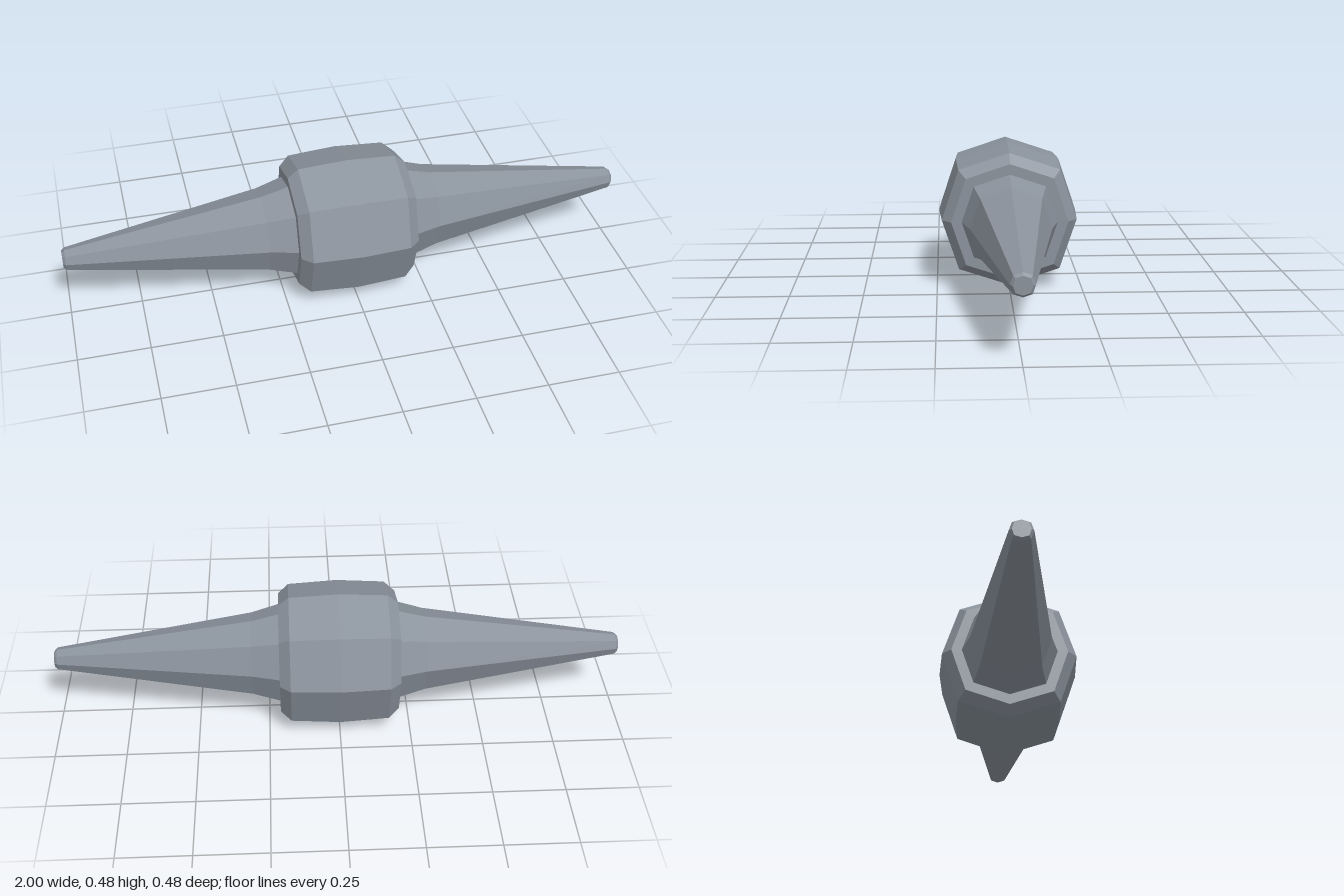
import * as THREE from 'three';

const RADIUS = 0.2415;
const DIAGONAL = 1.06; // diagonal corners stand slightly further out

const steel = new THREE.MeshStandardMaterial({ color: 0x8a929c, flatShading: true });
steel.name = 'steel grey';

// Eight-sided turned solid along x from [x, radius] pairs
function turned(name, profile) {
  const geo = new THREE.LatheGeometry(profile.map(([x, r]) => new THREE.Vector2(r, x)), 8);
  const pos = geo.attributes.position;
  for (let i = 0; i < pos.count; i++) {
    const x = pos.getX(i), z = pos.getZ(i);
    if (Math.min(Math.abs(x), Math.abs(z)) > 1e-4) {
      pos.setX(i, x * DIAGONAL);
      pos.setZ(i, z * DIAGONAL);
    }
  }
  geo.rotateZ(-Math.PI / 2);
  geo.computeVertexNormals();
  const mesh = new THREE.Mesh(geo, steel);
  mesh.name = name;
  return mesh;
}

export function createModel() {
  const group = new THREE.Group();
  group.name = 'spindle';

  // Bulging hub with chamfered rims and flat end faces
  const half = [[0.172, 0.232], [0.209, 0.2], [0.209, 0.15]];
  const hub = turned('hub', [
    ...half.map(([x, r]) => [-x, r]).reverse(),
    [0, RADIUS],
    ...half,
  ]);
  group.add(hub);

  // Tapered arms with a flared root and chamfered tip
  const armProfile = [[0.2, 0.166], [0.209, 0.164], [0.305, 0.138], [0.99, 0.037], [1, 0.029], [1, 0]];
  const leftArm = turned('leftArm', armProfile);
  const rightArm = turned('rightArm', armProfile);
  rightArm.rotation.y = Math.PI;
  group.add(leftArm, rightArm);

  group.position.y = RADIUS;
  const model = new THREE.Group();
  model.name = 'model';
  model.add(group);
  return model;
}
